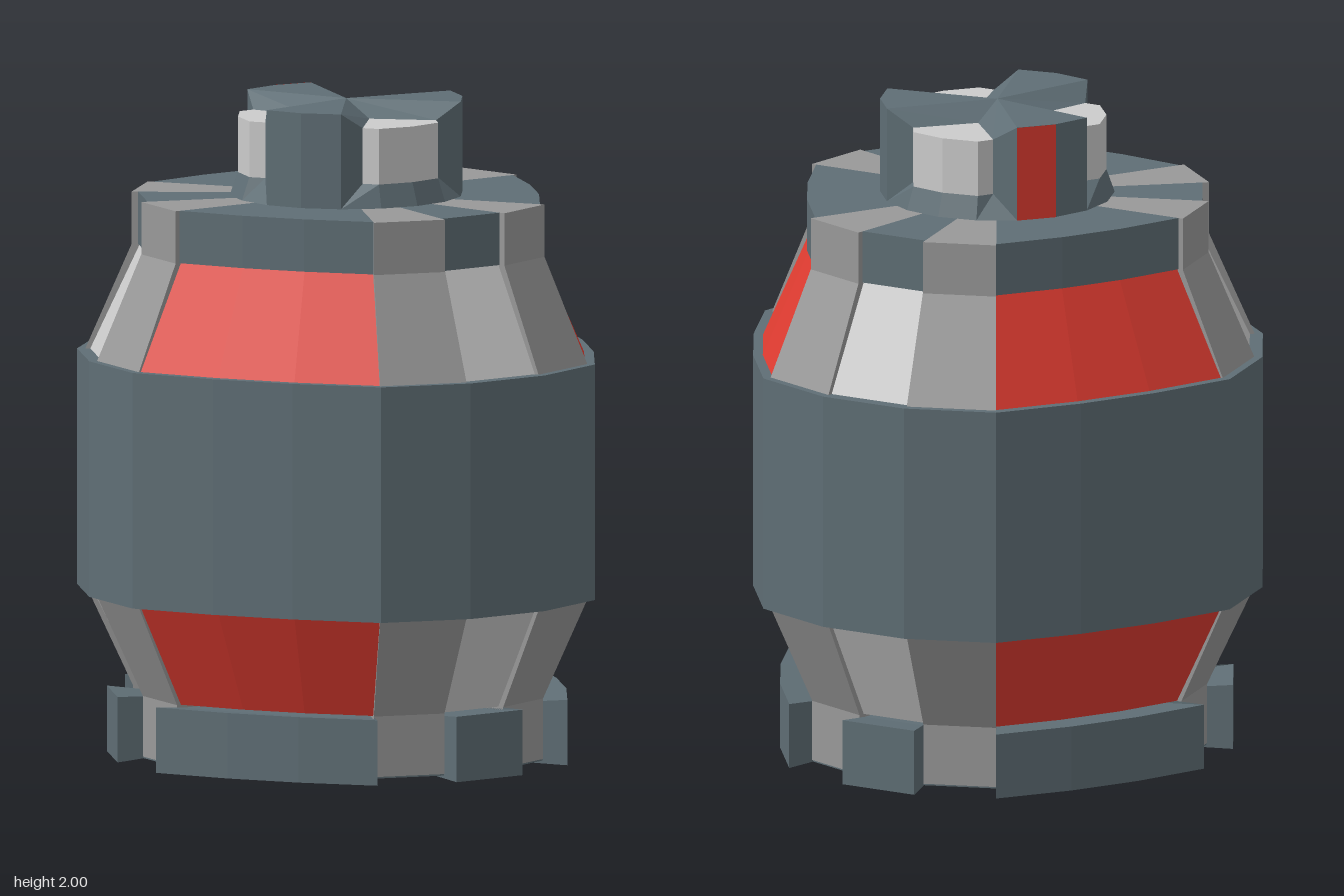
import * as THREE from 'three';

const rad = THREE.MathUtils.degToRad;
const paint = (color) => new THREE.MeshStandardMaterial({ color, flatShading: true, side: THREE.DoubleSide });
const steel = paint(0x5f6e75), ribGrey = paint(0x999999), lightGrey = paint(0xcccccc), red = paint(0xe03c31);

// Point at an angle measured from the front (+z) towards +x
const polar = (deg, r, y) => [r * Math.sin(rad(deg)), y, r * Math.cos(rad(deg))];

// Mesh from convex polygons, each split into a fan
function faceted(name, material, faces) {
  const pos = [];
  const tri = new THREE.Triangle();
  for (const f of faces) {
    for (let i = 1; i < f.length - 1; i++) {
      tri.a.fromArray(f[0]); tri.b.fromArray(f[i]); tri.c.fromArray(f[i + 1]);
      if (tri.getArea() > 1e-7) pos.push(...f[0], ...f[i], ...f[i + 1]);
    }
  }
  const geometry = new THREE.BufferGeometry();
  geometry.setAttribute('position', new THREE.Float32BufferAttribute(pos, 3));
  geometry.computeVertexNormals();
  const mesh = new THREE.Mesh(geometry, material);
  mesh.name = name;
  return mesh;
}

// The 18-sided outline is pulled in at the middle corners of the three panels
const flatten = (deg) => {
  const a = ((deg % 120) + 120) % 120;
  return a > 40 && a < 80 ? 0.92 : 1;
};

// Slice of the body: a closed [radius, height] profile swept over 20 degree steps
function sector(name, material, from, to, profile) {
  const faces = [];
  const at = (deg, [r, y]) => polar(deg, r * flatten(deg), y);
  for (let a = from; a < to; a += 20) {
    profile.forEach((p, i) => {
      const q = profile[(i + 1) % profile.length];
      faces.push([at(a, p), at(a + 20, p), at(a + 20, q), at(a, q)]);
    });
  }
  if (to - from < 360) {
    faces.push(profile.map((p) => at(from, p)));
    faces.push(profile.map((p) => at(to, p)).reverse());
  }
  return faceted(name, material, faces);
}

const mirrorFaces = (faces) =>
  faces.concat(faces.map((f) => f.map(([x, y, z]) => [-x, y, z]).reverse()));

const slab = (r0, r1, y0, y1) => [[0, y0], [r0, y0], [r1, y1], [0, y1]];

// One third of the body: front column with its ribs, and the red panel beside it
function bodyThird() {
  const g = new THREE.Group();
  g.name = 'bodyThird';
  const rib = [[0, 0.015], [0.645, 0.015], [0.645, 0.2], [0.79, 0.51],
    [0.79, 1.23], [0.65, 1.55], [0.65, 1.71], [0, 1.71]];
  g.add(sector('rib', ribGrey, 10, 30, rib), sector('rib', ribGrey, -30, -10, rib));

  const bays = [
    ['column', lightGrey, -10, 10, 0.775, 0.625],
    ['panel', red, 30, 90, 0.783, 0.63],
  ];
  for (const [name, material, from, to, wide, narrow] of bays) {
    g.add(sector(name + 'Upper', material, from, to, slab(wide, narrow, 1.23, 1.55)));
    g.add(sector(name + 'Lower', material, from, to, slab(narrow, wide, 0.2, 0.51)));
    g.add(sector(name + 'Cap', steel, from, to, slab(narrow + 0.005, narrow + 0.005, 1.55, 1.71)));
    // Foot, slightly flared at its outer face
    g.add(sector(name + 'Foot', steel, from, to,
      [[0, 0.012], [0.62, 0.012], [0.725, 0], [0.725, 0.2], [0.62, 0.19], [0, 0.19]]));
  }
  return g;
}

// One third of the knob: a recess holding a grey button, and the lobe beside it
function knobThird() {
  const g = new THREE.Group();
  g.name = 'knobThird';
  const R = 0.355, B = 0.33, floor = 1.71, top = 2, lo = 1.78, hi = 1.95;
  const centre = [0, top, 0], apex = [0, hi, 0.115];
  const corner = (y) => [0.14, y, 0.265];
  g.add(faceted('buttonRecess', steel, mirrorFaces([
    [centre, apex, corner(hi), polar(40, R, top)],
    [corner(lo), polar(40, R, floor), polar(40, R, top), corner(hi)],
    [polar(20, R, floor), polar(40, R, floor), corner(lo), polar(20, B, lo)],
    [polar(0, R, floor), polar(20, R, floor), polar(20, B, lo), polar(0, B, lo)],
  ])));
  g.add(faceted('button', lightGrey, mirrorFaces([
    [apex, polar(0, B, hi), polar(20, B, hi), corner(hi)],
    [polar(0, B, lo), polar(20, B, lo), polar(20, B, hi), polar(0, B, hi)],
    [polar(20, B, lo), corner(lo), corner(hi), polar(20, B, hi)],
  ])));
  const lobe = [];
  for (const a of [40, 60]) {
    lobe.push([centre, polar(a, R, top), polar(a + 20, R, top)]);
    lobe.push([polar(a, R, floor), polar(a + 20, R, floor), polar(a + 20, R, top), polar(a, R, top)]);
  }
  g.add(faceted('lobe', steel, lobe));
  return g;
}

export function createModel() {
  const model = new THREE.Group();
  model.name = 'canister';
  const body = new THREE.Group();
  body.name = 'body';
  body.position.z = -0.035;
  model.add(body);

  // Wide band around the middle and the plate underneath
  body.add(sector('band', steel, -30, 330, slab(0.815, 0.815, 0.51, 1.23)));
  body.add(sector('basePlate', steel, -30, 330, slab(0.643, 0.643, 0.01, 0.02)));

  for (let k = 0; k < 3; k++) {
    for (const part of [bodyThird(), knobThird()]) {
      part.rotation.y = rad(120 * k);
      body.add(part);
    }
  }

  // Red marker on one facet of the rear lobe
  const r = 0.357;
  body.add(faceted('marker', red, [
    [polar(160, r, 1.71), polar(180, r, 1.71), polar(180, r, 2), polar(160, r, 2)],
  ]));
  return model;
}
